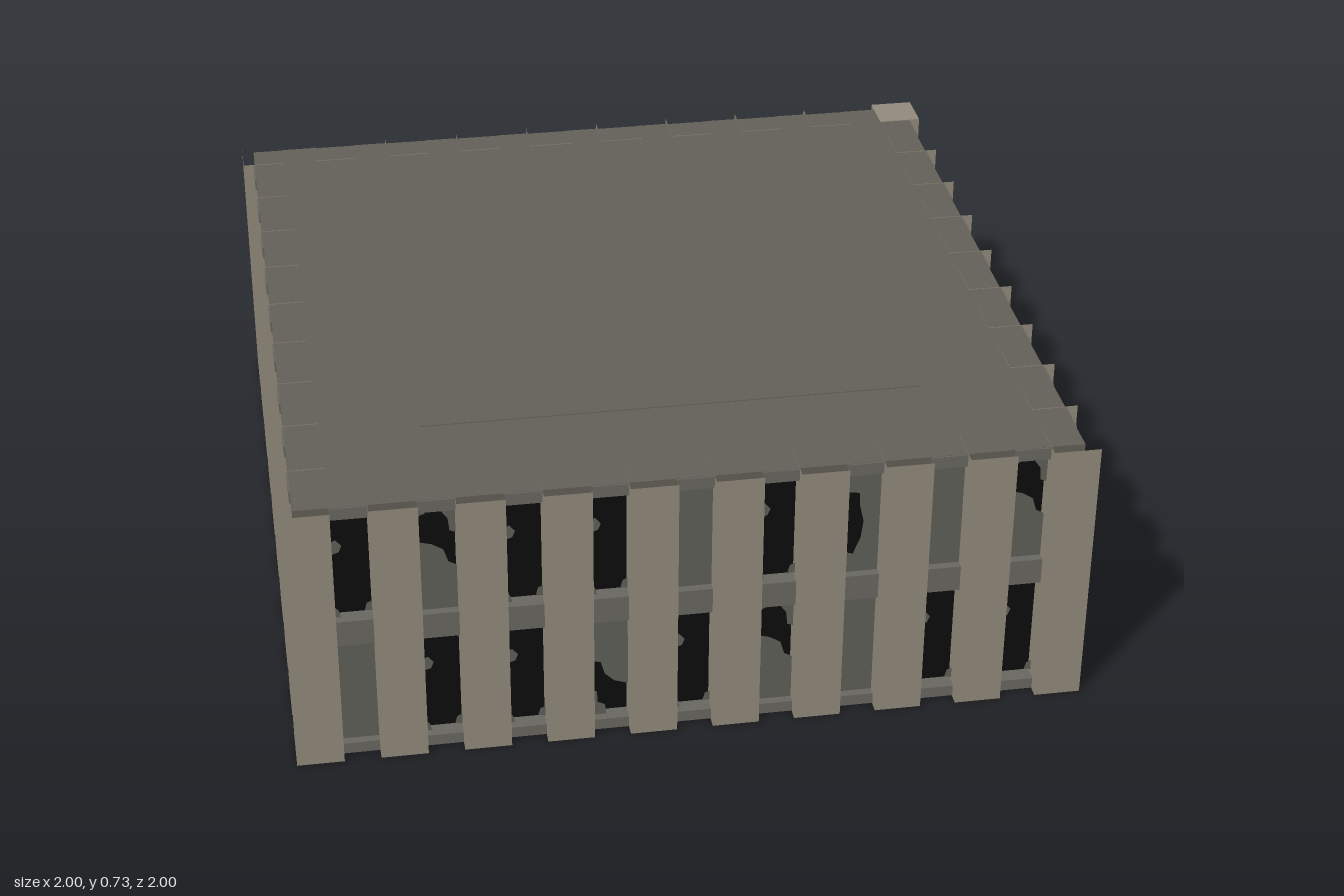
import * as THREE from 'three';

const H = 0.73, OUT = 1, SLAB = 0.968, PILLAR_W = 0.118, PITCH = 0.2091;
const BAY_W = PITCH - PILLAR_W;

const mat = (name, color, side = THREE.FrontSide) => {
  const m = new THREE.MeshStandardMaterial({ color, side });
  m.name = name;
  return m;
};

// Pane outlines in unit bay coordinates
const PANES = {
  full: [[[0, 0], [1, 0], [1, 1], [0, 1]]],
  empty: [
    [[0, 0.62], [0.2, 0.64], [0.28, 0.7], [0.12, 0.76], [0, 0.74]],
    [[1, 0.04], [1, 0.14], [0.86, 0.12], [0.8, 0.05]],
    [[0, 0], [0.16, 0], [0.1, 0.07], [0, 0.1]],
  ],
  brokenTop: [
    [[0, 0], [1, 0], [1, 0.42], [0.78, 0.46], [0.66, 0.58], [0.35, 0.64], [0, 0.67]],
    [[1, 1], [0.6, 1], [0.66, 0.94], [0.8, 0.88], [0.84, 0.76], [1, 0.74]],
    [[0, 1], [0, 0.92], [0.2, 0.94], [0.25, 1]],
  ],
  brokenBottom: [
    [[0, 1], [0, 0.56], [0.25, 0.54], [0.36, 0.42], [0.62, 0.34], [1, 0.3], [1, 1]],
    [[0, 0], [0.4, 0], [0.36, 0.1], [0.16, 0.13], [0.14, 0.24], [0, 0.26]],
  ],
  hole: [[[0, 0], [1, 0], [1, 1], [0, 1]]],
};
const UPPER = {
  front: ['empty', 'brokenTop', 'empty', 'empty', 'full', 'empty', 'hole', 'full', 'brokenTop'],
  side: ['empty', 'brokenBottom', 'empty', 'empty', 'full', 'empty', 'hole', 'full', 'empty'],
};
const LOWER = {
  front: ['full', 'empty', 'empty', 'brokenBottom', 'empty', 'brokenTop', 'full', 'empty', 'empty'],
  side: ['full', 'empty', 'empty', 'brokenBottom', 'empty', 'brokenTop', 'full', 'empty', 'full'],
};

function paneGeometry(type, w, h) {
  const shapes = PANES[type].map(pts =>
    new THREE.Shape(pts.map(([u, v]) => new THREE.Vector2((u - 0.5) * w, v * h))));
  if (type === 'hole') {
    const pts = [[0.08, 0.2], [0.3, 0.18], [0.5, 0.34], [0.56, 0.5], [0.44, 0.66], [0.42, 0.78], [0.06, 0.8], [0.1, 0.5]];
    shapes[0].holes.push(new THREE.Path(pts.map(([u, v]) => new THREE.Vector2((u - 0.5) * w, v * h))));
  }
  return new THREE.ShapeGeometry(shapes);
}

// Square tube without end caps
function pillarGeometry() {
  const g = new THREE.BoxGeometry(PILLAR_W, H, PILLAR_W);
  const idx = Array.from(g.index.array);
  g.setIndex([...idx.slice(0, 12), ...idx.slice(24)]);
  g.clearGroups();
  return g;
}

export function createModel() {
  const model = new THREE.Group();
  model.name = 'ruinedBuilding';
  const pillarMat = mat('paleConcrete', 0x91897a);
  const slabMat = mat('roofConcrete', 0x625f57);
  const bandMat = mat('greyConcrete', 0x68665f);
  const paneMat = mat('dirtyGlass', 0x5f5e58, THREE.DoubleSide);
  const darkMat = mat('darkInterior', 0x0c0c0c);

  const add = (parent, name, geo, material, x = 0, y = 0, z = 0) => {
    const m = new THREE.Mesh(geo, material);
    m.name = name;
    m.position.set(x, y, z);
    parent.add(m);
    return m;
  };
  const box = (w, h, d) => new THREE.BoxGeometry(w, h, d);

  // Roof and base slabs with a thin inner panel
  add(model, 'roofSlab', box(SLAB * 2, 0.033, SLAB * 2), slabMat, 0, H - 0.0185, 0);
  add(model, 'roofPanel', box(1.27, 0.002, 1.27), slabMat, 0, H - 0.001, 0);
  add(model, 'baseSlab', box(SLAB * 2, 0.03, SLAB * 2), slabMat, 0, 0.017, 0);
  add(model, 'basePanel', box(1.27, 0.002, 1.27), slabMat, 0, 0.001, 0);

  // Dark interior, notched at the collapsed corner
  const c = 0.93, n = 0.8;
  const plan = new THREE.Shape([[-c, -c], [c, -c], [c, n], [n, n], [n, c], [-c, c]]
    .map(([x, y]) => new THREE.Vector2(x, y)));
  const core = new THREE.ExtrudeGeometry(plan, { depth: 0.67, bevelEnabled: false });
  core.rotateX(-Math.PI / 2);
  add(model, 'darkInterior', core, darkMat, 0, 0.03, 0);

  // Four walls: pillars, bands and panes
  const pillar = pillarGeometry();
  const first = -OUT + PILLAR_W / 2;
  ['front', 'left', 'back', 'right'].forEach((side, s) => {
    const wall = new THREE.Group();
    wall.name = side + 'Wall';
    wall.rotation.y = s * Math.PI / 2;
    model.add(wall);
    const key = s === 0 ? 'front' : 'side';
    for (let i = 0; i < 9; i++) {
      const x = first + i * PITCH, bx = x + PITCH / 2;
      if (!(s === 2 && i === 0)) add(wall, 'pillar', pillar, pillarMat, x, H / 2, OUT - PILLAR_W / 2);
      // Horizontal bands: base, floor, lintel
      for (const [y0, y1] of [[0.003, 0.033], [0.33, 0.4], [0.695, H - 0.003]])
        add(wall, 'band', box(BAY_W, y1 - y0, 0.08), bandMat, bx, (y0 + y1) / 2, 0.932);
      add(wall, 'lowerPane', paneGeometry(LOWER[key][i], BAY_W, 0.297), paneMat, bx, 0.033, 0.95);
      add(wall, 'upperPane', paneGeometry(UPPER[key][i], BAY_W, 0.295), paneMat, bx, 0.4, 0.95);
    }
  });

  // Collapsed corner: post stubs with jagged shards above and below
  const corner = new THREE.Group();
  corner.name = 'collapsedCorner';
  corner.position.set(OUT - PILLAR_W / 2, 0, -OUT + PILLAR_W / 2);
  model.add(corner);
  add(corner, 'topStub', box(PILLAR_W, 0.07, PILLAR_W), pillarMat, 0, H - 0.035, 0);
  add(corner, 'bottomStub', box(PILLAR_W, 0.075, PILLAR_W), pillarMat, 0, 0.0375, 0);
  const shards = [[-0.045, 0.03, 0.16], [-0.02, 0.045, 0.11], [-0.045, -0.02, 0.12], [0.01, -0.035, 0.06], [0.04, 0.04, 0.07], [0.035, -0.04, 0.04]];
  for (const [x, z, len] of shards) {
    const up = new THREE.CylinderGeometry(0.004, 0.02, len, 4).toNonIndexed();
    up.computeVertexNormals();
    add(corner, 'shard', up, bandMat, x, 0.07 + len / 2, z);
    add(corner, 'shard', up, bandMat, x, H - 0.065 - len / 2, z).rotation.x = Math.PI;
  }

  // Broken edge of the middle floor inside the corner
  const edge = new THREE.Shape([[-0.15, -0.15], [0.02, -0.15], [0.01, -0.09], [0.035, -0.04], [-0.01, -0.01], [-0.03, 0.035], [-0.09, 0.01], [-0.15, 0.03]]
    .map(([x, y]) => new THREE.Vector2(x, y)));
  const floor = new THREE.ExtrudeGeometry(edge, { depth: 0.04, bevelEnabled: false });
  floor.rotateX(-Math.PI / 2);
  add(corner, 'brokenFloor', floor, bandMat, -0.02, 0.345, 0.02);

  return model;
}
